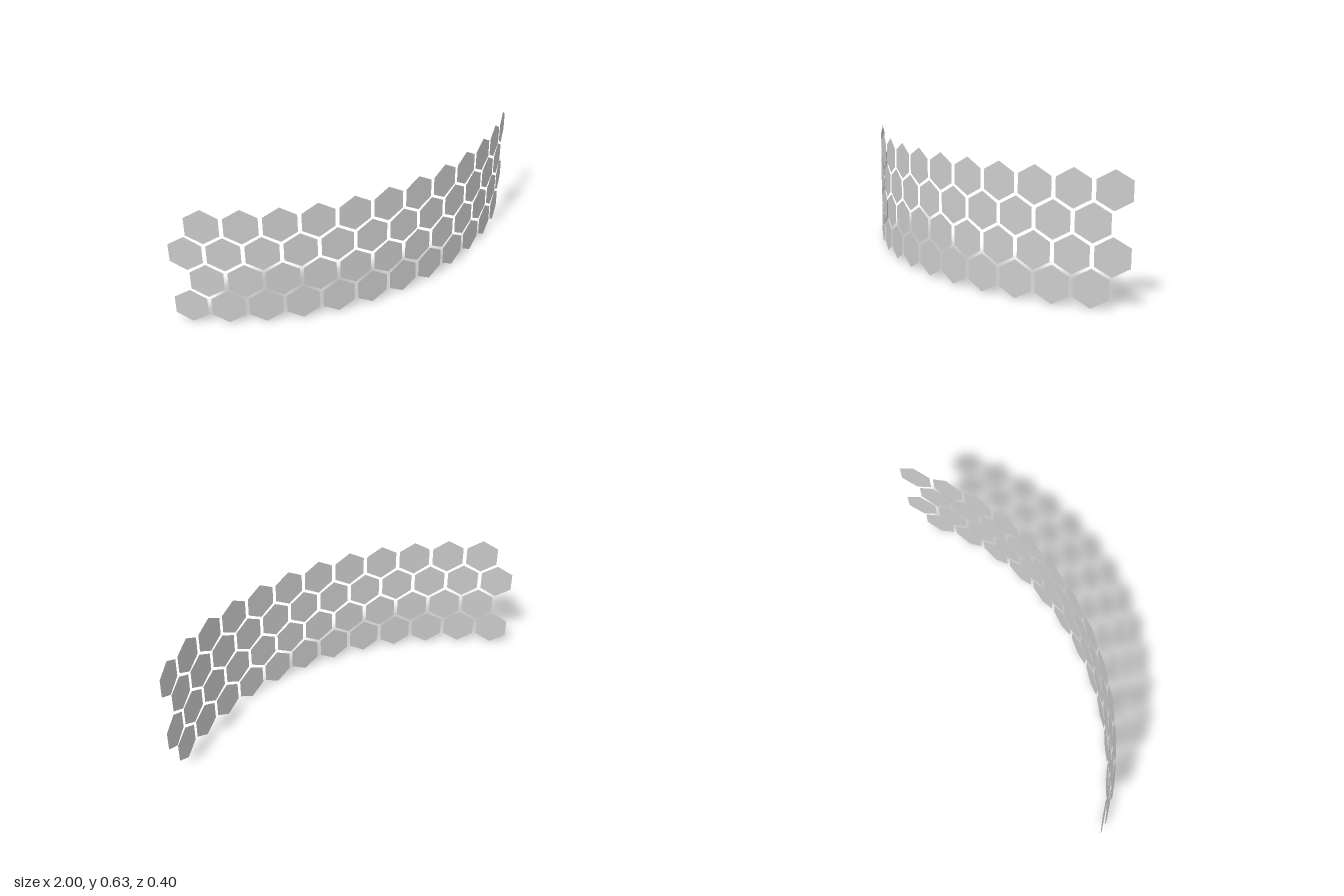
import * as THREE from 'three';

const ROWS = 4, COLUMNS = 12;
const ARC_RADIUS = 1.443;   // curve of the whole panel
const STEP = 0.1233;        // angle between neighbouring tiles
const HALF_WIDTH = 0.0795, HALF_HEIGHT = 0.091, ROW_PITCH = 0.1477;

// Flat, paper-thin hexagon with a point at the top and bottom
function hexagonGeometry() {
  const h = HALF_HEIGHT / 2;
  const shape = new THREE.Shape([
    [0, HALF_HEIGHT], [-HALF_WIDTH, h], [-HALF_WIDTH, -h],
    [0, -HALF_HEIGHT], [HALF_WIDTH, -h], [HALF_WIDTH, h],
  ].map(([x, y]) => new THREE.Vector2(x, y)));
  return new THREE.ShapeGeometry(shape);
}

export function createModel() {
  const model = new THREE.Group();
  model.name = 'curvedHexagonPanel';
  const geometry = hexagonGeometry();
  const material = new THREE.MeshStandardMaterial({ color: 0xcccccc, side: THREE.DoubleSide });

  // Rows of tiles on a vertical cylinder, each row offset half a tile from the next
  for (let r = 0; r < ROWS; r++) {
    const row = new THREE.Group();
    row.name = `tileRow${r + 1}`;
    row.position.set(0, HALF_HEIGHT + r * ROW_PITCH, 0.2 - ARC_RADIUS);
    const shift = r % 2 ? 0.25 : -0.25;
    for (let c = 0; c < COLUMNS; c++) {
      const angle = (c - (COLUMNS - 1) / 2 + shift) * STEP;
      const tile = new THREE.Mesh(geometry, material);
      tile.name = `hexagonTile${c + 1}`;
      tile.position.set(ARC_RADIUS * Math.sin(angle), 0, ARC_RADIUS * Math.cos(angle));
      tile.rotation.y = angle;
      row.add(tile);
    }
    model.add(row);
  }
  return model;
}
